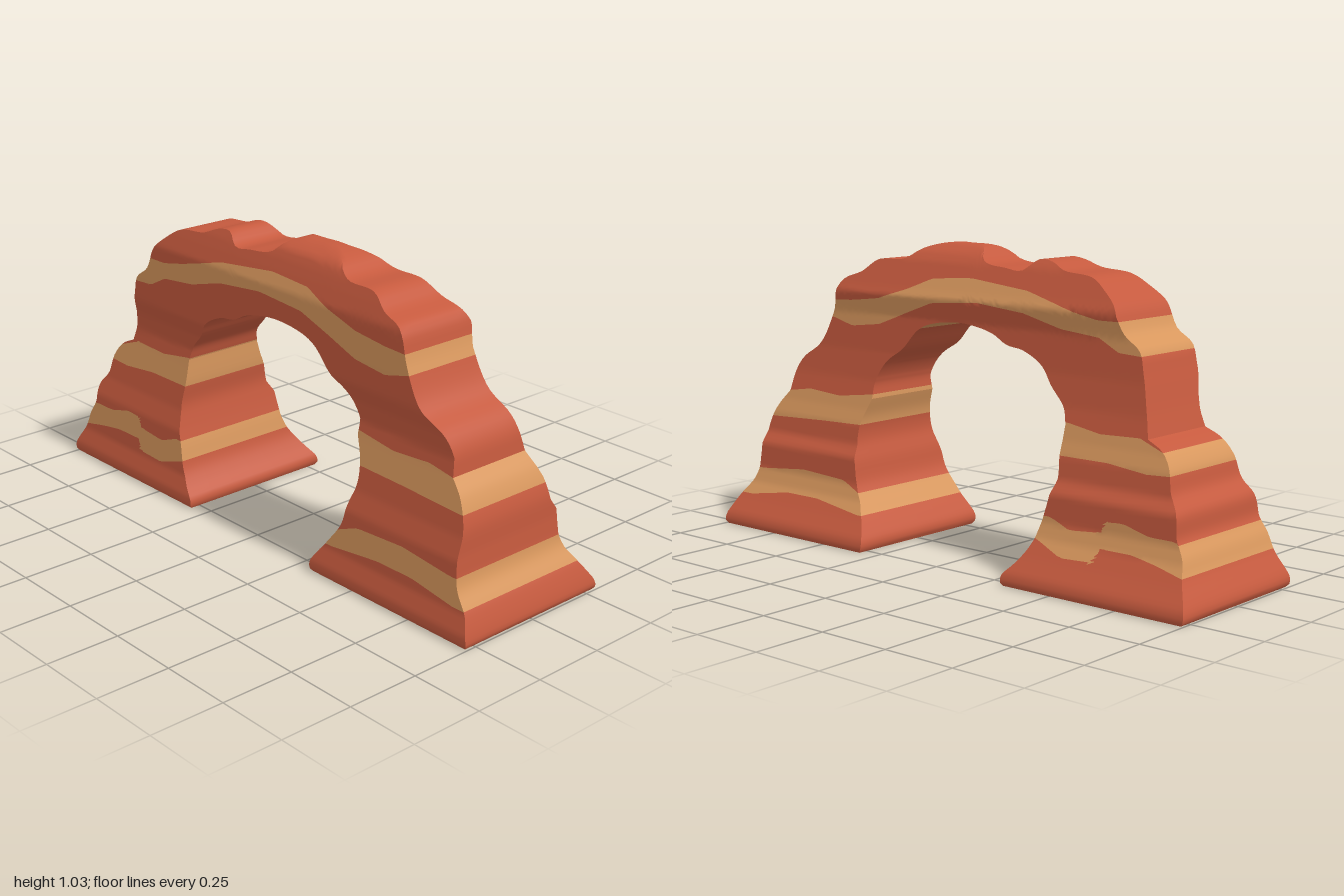
import * as THREE from 'three';
import { toCreasedNormals } from 'three/addons/utils/BufferGeometryUtils.js';

const redRock = new THREE.MeshStandardMaterial({ color: 0xc65a3e });
redRock.name = 'red rock';
const paleRock = new THREE.MeshStandardMaterial({ color: 0xd8975d });
paleRock.name = 'pale rock';

// Piecewise linear lookup in a list of [key, value] pairs
function lookup(table, k) {
  if (k <= table[0][0]) return table[0][1];
  for (let i = 1; i < table.length; i++) {
    const [k0, v0] = table[i - 1], [k1, v1] = table[i];
    if (k <= k1) return v0 + (v1 - v0) * (k - k0) / (k1 - k0);
  }
  return table[table.length - 1][1];
}

// Depth of the front and back walls by height: [y, z]
const frontWall = [[0, .285], [.012, .295], [.04, .294], [.1, .275], [.25, .262], [.32, .24], [.4, .225], [.48, .21],
  [.54, .2], [.6, .21], [.66, .23], [.75, .233], [.88, .232], [.93, .215], [.97, .2], [1, .185], [1.02, .15], [1.03, .12]];
const backWall = [[0, -.285], [.012, -.293], [.04, -.285], [.1, -.24], [.15, -.205], [.2, -.185], [.29, -.175], [.33, -.145],
  [.4, -.13], [.45, -.11], [.55, -.08], [.65, -.06], [.78, -.045], [.85, -.057], [.88, -.04], [.94, -.01], [.97, .005],
  [1, .03], [1.02, .06], [1.03, .08]];

// Lower and upper edges of the pale strata: [x, y]
const strata = [
  [[[-.95, .12], [-.85, .14], [-.75, .155], [-.635, .155], [-.62, .115], [-.5, .11], [-.38, .15], [.38, .11], [.6, .135], [.75, .135], [.92, .11]],
    [[-.95, .15], [-.9, .215], [-.8, .215], [-.7, .24], [-.635, .235], [-.62, .2], [-.5, .19], [-.42, .22], [.4, .17], [.5, .21], [.7, .22], [.9, .2]]],
  [[[-.85, .395], [-.75, .39], [-.6, .405], [-.42, .405], [.45, .4], [.65, .395], [.9, .385]],
    [[-.8, .455], [-.7, .49], [-.55, .485], [-.42, .505], [.44, .505], [.6, .485], [.75, .495], [.85, .48]]],
  [[[-.67, .73], [-.58, .735], [-.5, .775], [-.35, .79], [-.2, .83], [0, .85], [.2, .835], [.33, .79], [.45, .745], [.58, .73], [.68, .755]],
    [[-.67, .75], [-.6, .83], [-.5, .83], [-.4, .85], [-.2, .9], [.05, .925], [.22, .915], [.32, .875], [.45, .835], [.58, .82], [.7, .815]]],
];
const crownUnderside = [[[0, .745]], [[0, .8]]];

// Outlines of the three parts, each running from the -x foot to the +x foot
const parts = {
  rightPillar: {
    rows: 44, cap: 'start',
    outer: [[-.99, 0], [-1, .012], [-.998, .035], [-.95, .12], [-.93, .17], [-.9, .22], [-.89, .29], [-.85, .34], [-.83, .41], [-.79, .46], [-.73, .49]],
    inner: [[-.315, 0], [-.308, .012], [-.31, .035], [-.34, .07], [-.37, .12], [-.39, .2], [-.41, .28], [-.42, .34], [-.412, .42], [-.41, .5]],
  },
  archSpan: {
    rows: 110,
    outer: [[-.73, .49], [-.71, .56], [-.68, .68], [-.66, .745], [-.6, .79], [-.56, .87], [-.5, .92], [-.44, .955], [-.32, .97],
      [-.26, .993], [-.2, .998], [-.15, .96], [-.08, .965], [.02, .98], [.07, 1.023], [.16, 1.03], [.24, 1.03], [.32, 1.01], [.38, .972],
      [.5, .963], [.56, .92], [.64, .885], [.67, .79], [.71, .69], [.74, .65], [.81, .6], [.84, .55], [.85, .48]],
    inner: [[-.41, .5], [-.39, .55], [-.33, .61], [-.28, .67], [-.2, .71], [-.13, .722], [-.06, .755], [.08, .777], [.22, .76],
      [.27, .735], [.33, .67], [.4, .62], [.44, .55], [.44, .49]],
  },
  leftPillar: {
    rows: 44, cap: 'end',
    outer: [[.85, .48], [.89, .43], [.92, .35], [.925, .25], [.935, .17], [.975, .1], [.998, .035], [1, .012], [.99, 0]],
    inner: [[.44, .49], [.465, .42], [.47, .35], [.45, .28], [.43, .2], [.38, .13], [.34, .08], [.312, .035], [.312, .012], [.32, 0]],
  },
};

const curve = (pts) => new THREE.CatmullRomCurve3(pts.map(([x, y]) => new THREE.Vector3(x, y, 0)));

// Cut triangles along the line where f is zero
function split(tris, f) {
  const out = [];
  for (const tri of tris) {
    const d = tri.map(f), below = [], above = [];
    tri.forEach((p, i) => {
      const j = (i + 1) % 3, q = tri[j];
      if (d[i] <= 0) below.push(p);
      if (d[i] >= 0) above.push(p);
      if (d[i] * d[j] < 0) {
        // Always cut from the lower end so that neighbours share the point exactly
        const m = d[i] < 0 ? p.clone().lerp(q, d[i] / (d[i] - d[j])) : q.clone().lerp(p, d[j] / (d[j] - d[i]));
        below.push(m);
        above.push(m);
      }
    });
    for (const poly of [below, above]) {
      for (let k = 2; k < poly.length; k++) out.push([poly[0], poly[k - 1], poly[k]]);
    }
  }
  return out;
}

// Sort triangles into red and pale rock
function paint(tris, bands, red, pale) {
  for (const edge of bands.flat()) tris = split(tris, (p) => p.y - lookup(edge, p.x));
  for (const t of tris) {
    const x = (t[0].x + t[1].x + t[2].x) / 3, y = (t[0].y + t[1].y + t[2].y) / 3;
    const isPale = bands.some(([lo, hi]) => y > lookup(lo, x) && y < lookup(hi, x));
    (isPale ? pale : red).push(t);
  }
}

function buildPart({ outer, inner, rows, cap }) {
  const A = curve(outer), B = curve(inner), across = 24, deep = 6;
  // Closed cross-sections: front wall, underside, back wall, top
  const rings = [];
  for (let i = 0; i <= rows; i++) {
    const a = A.getPointAt(i / rows), b = B.getPointAt(i / rows), ring = [];
    const point = (t, w) => {
      const p = a.clone().lerp(b, t);
      p.y = Math.max(p.y, 0);
      p.z = THREE.MathUtils.lerp(lookup(frontWall, p.y), lookup(backWall, p.y), w);
      ring.push(p);
    };
    for (let k = 0; k < across; k++) point(k / across, 0);
    for (let k = 0; k < deep; k++) point(1, k / deep);
    for (let k = 0; k < across; k++) point(1 - k / across, 1);
    for (let k = 0; k < deep; k++) point(0, 1 - k / deep);
    rings.push(ring);
  }
  const walls = [], underside = [], n = rings[0].length;
  for (let i = 0; i < rows; i++) {
    for (let k = 0; k < n; k++) {
      const l = (k + 1) % n, r = rings[i], s = rings[i + 1];
      const list = k >= across && k < across + deep ? underside : walls;
      list.push([r[k], r[l], s[l]], [r[k], s[l], s[k]]);
    }
  }
  // Flat sole of the foot
  if (cap) {
    const rim = cap === 'end' ? rings[rows] : rings[0].slice().reverse();
    const centre = rim.reduce((c, p) => c.add(p), new THREE.Vector3()).divideScalar(n);
    rim.forEach((p, k) => walls.push([centre, p, rim[(k + 1) % n]]));
  }
  const red = [], pale = [];
  paint(walls, strata, red, pale);
  paint(underside, [...strata, crownUnderside], red, pale);

  const geometry = new THREE.BufferGeometry().setFromPoints([...red, ...pale].flat());
  geometry.addGroup(0, red.length * 3, 0);
  geometry.addGroup(red.length * 3, pale.length * 3, 1);
  return toCreasedNormals(geometry, 0.75);
}

export function createModel() {
  const group = new THREE.Group();
  group.name = 'rockArch';
  for (const [name, part] of Object.entries(parts)) {
    const mesh = new THREE.Mesh(buildPart(part), [redRock, paleRock]);
    mesh.name = name;
    group.add(mesh);
  }
  return group;
}
